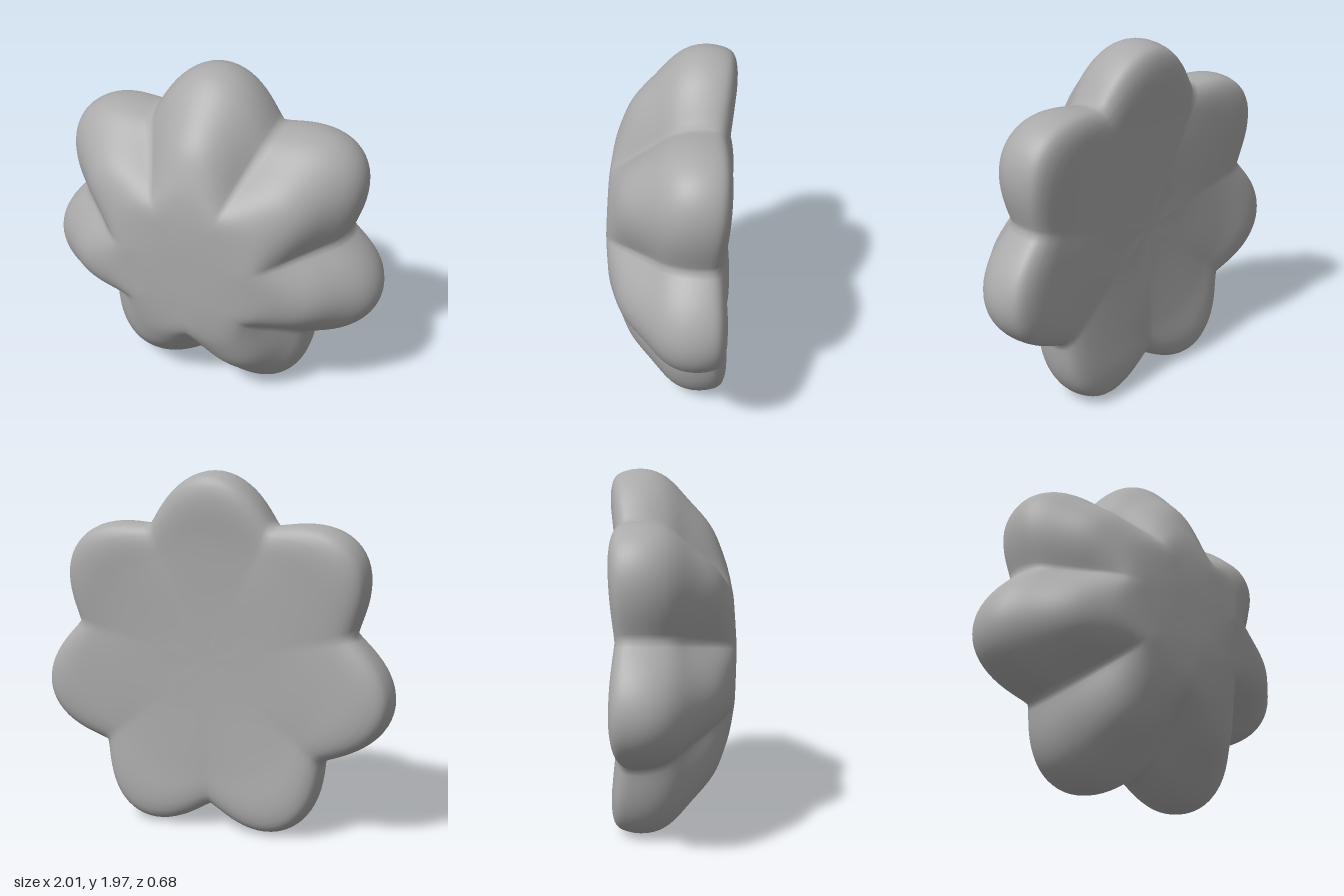
import * as THREE from 'three';
import { mergeVertices } from 'three/addons/utils/BufferGeometryUtils.js';

const LOBES = 7;
const AROUND = 168; // steps round the rim
const ALONG = 52;   // steps from front centre, over the rim, to back centre
const CENTRE_Y = 0.95;

// Cross-sections as [radius, z], from the front centre to the back centre
const lobeSection = [
  [0, 0.345], [0.25, 0.342], [0.45, 0.32], [0.58, 0.28], [0.71, 0.22], [0.85, 0.1], [0.98, -0.03],
  [1.02, -0.13], [1.015, -0.24], [0.98, -0.31], [0.88, -0.337], [0.65, -0.318], [0.3, -0.3], [0, -0.295],
];
const notchSection = [
  [0, 0.345], [0.25, 0.342], [0.41, 0.325], [0.49, 0.265], [0.58, 0.17], [0.68, 0.07], [0.77, -0.02],
  [0.81, -0.11], [0.82, -0.2], [0.805, -0.265], [0.75, -0.3], [0.58, -0.305], [0.3, -0.3], [0, -0.295],
];

const toCurve = (section) =>
  new THREE.CatmullRomCurve3(section.map(([r, z]) => new THREE.Vector3(r, 0, z)), false, 'centripetal');

// Closed skin that blends between the lobe and notch sections round the knob
function lobedGeometry() {
  const lobe = toCurve(lobeSection).getPoints(ALONG);
  const notch = toCurve(notchSection).getPoints(ALONG);
  const positions = [], indices = [];
  const p = new THREE.Vector3();
  for (let i = 0; i < AROUND; i++) {
    const turn = (i / AROUND) * Math.PI * 2; // zero at the top lobe
    const weight = Math.pow(Math.max(0, (1 + Math.cos(LOBES * turn)) / 2), 0.6);
    for (let j = 0; j <= ALONG; j++) {
      p.lerpVectors(notch[j], lobe[j], weight);
      const r = j === 0 || j === ALONG ? 0 : p.x;
      positions.push(-r * Math.sin(turn), r * Math.cos(turn), p.z);
    }
  }
  const row = ALONG + 1;
  for (let i = 0; i < AROUND; i++) {
    const next = (i + 1) % AROUND;
    for (let j = 0; j < ALONG; j++) {
      const a = i * row + j, b = next * row + j;
      if (j < ALONG - 1) indices.push(a, a + 1, b + 1);
      if (j > 0) indices.push(a, b + 1, b);
    }
  }
  const geometry = new THREE.BufferGeometry();
  geometry.setAttribute('position', new THREE.Float32BufferAttribute(positions, 3));
  geometry.setIndex(indices);
  const welded = mergeVertices(geometry, 1e-5);
  welded.computeVertexNormals();
  return welded;
}

export function createModel() {
  const group = new THREE.Group();
  group.name = 'lobedKnob';
  const grey = new THREE.MeshStandardMaterial({ color: 0xaaaaaa });
  grey.name = 'grey';
  const body = new THREE.Mesh(lobedGeometry(), grey);
  body.name = 'knobBody';
  body.position.y = CENTRE_Y;
  group.add(body);
  return group;
}
